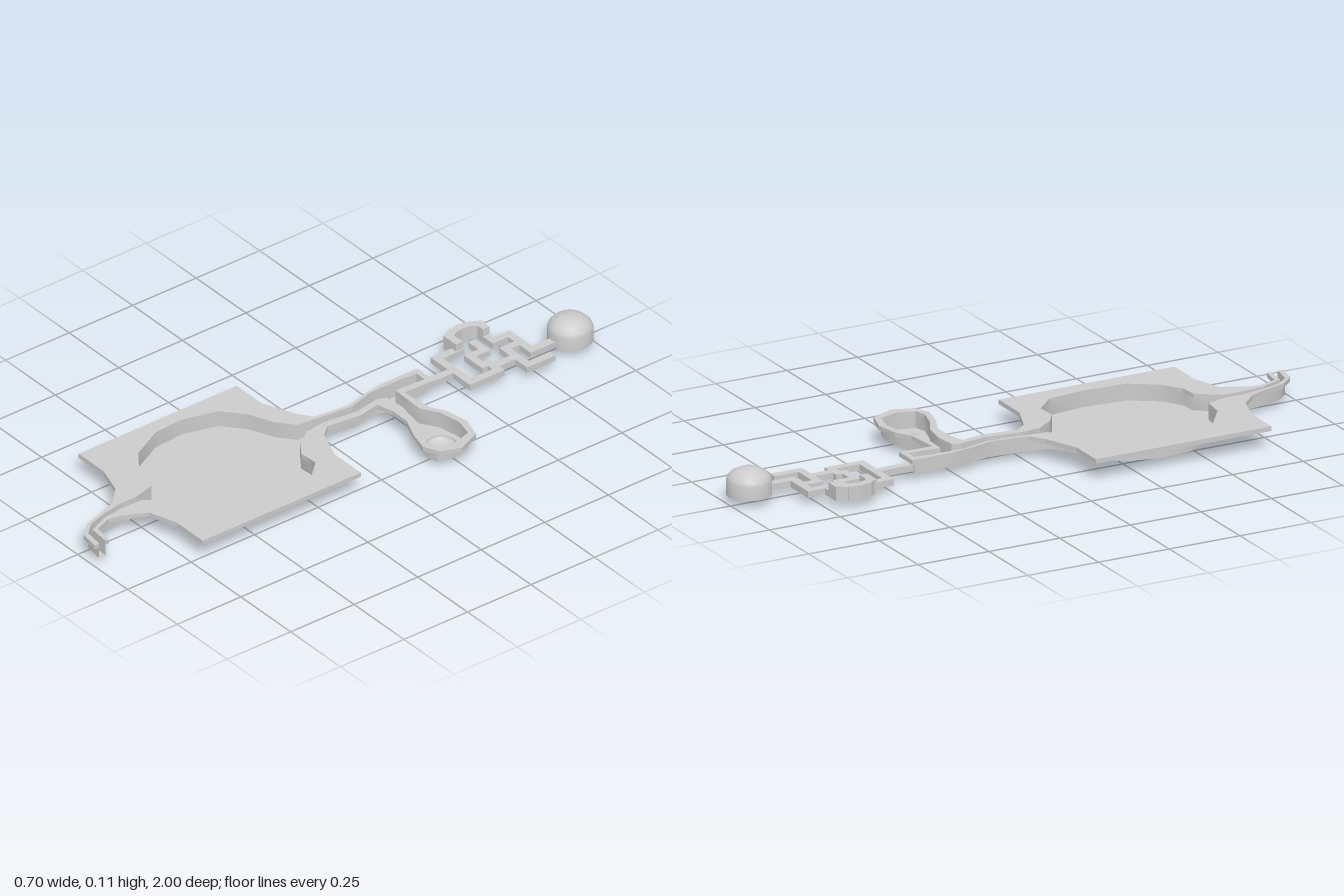
import * as THREE from 'three';
import { toCreasedNormals } from 'three/addons/utils/BufferGeometryUtils.js';

// Ground plan in hundredths of a unit, as x, z pairs.
const OUTER = [
  [8.2, 94.2], [1.3, 93.1], [-0.8, 87.3], [0, 83], [4, 75], [14, 71.8], [26.8, 71.8], [26.8, 9.6],
  [13.5, 9.6], [3, 5.3], [-0.2, 1.6], [1.3, -10.6], [-0.2, -18], [5.5, -19.6], [12.5, -19.6],
  [20, -16.4], [27.2, -14.6], [32.5, -17], [35, -23.8], [31.5, -32], [24, -34.4], [16, -33],
  [11, -30], [-0.5, -29], [-0.2, -40.5], [-8.7, -40.5], [-8.7, -26], [-7.5, -19], [-5.5, -11],
  [-7, 1.6], [-12, 5], [-23, 9.6], [-35.5, 9.6], [-35.5, 71.8], [-23, 71.8], [-13, 75],
  [-7.5, 80.5], [-5, 87], [-3, 94], [1.3, 98.7], [8.2, 99.8],
];
const INNER = [
  [8.2, 98], [1.5, 97], [-2, 93], [-4.2, 86], [-5.5, 79], [-5.5, 72.5], [-7.5, 65], [-15, 64],
  [-24.5, 57], [-30.3, 45.5], [-31, 34.5], [-27.7, 23], [-21, 17], [-12, 13], [-6.5, 8.5],
  [-5.5, 0], [-4.3, -11.5], [-7, -21], [-7, -32], [-6.5, -38.5], [-2.5, -38.5], [-3.2, -27.5],
  [9.5, -27], [15, -30.5], [23, -32], [29.5, -30.5], [31.5, -24], [30, -18], [26, -17], [19, -19],
  [13.5, -22], [5.5, -23.5], [-1.7, -22.8], [-2.7, -20], [-1.2, -10.5], [-2.7, 1.5], [-1.8, 8.5],
  [2, 14], [7, 17.5], [13.5, 17], [20, 24], [21.5, 37], [20.3, 51.5], [14.5, 60], [8, 64.5],
  [2.4, 65], [-3, 72.5], [-3.2, 79], [-2.3, 87.5], [0.8, 94.8], [8.2, 95.5],
];
const RIM_TOP = 0.075, RIM_BOTTOM = 0.06, FLOOR = 0.02;
const POND = [0.23, -0.25], BOWL_R = 0.05;
const solid = new THREE.MeshStandardMaterial({ color: 0xcccccc });
const sheet = new THREE.MeshStandardMaterial({ color: 0xcccccc, side: THREE.DoubleSide });

const plan = pts => pts.map(([x, z]) => new THREE.Vector2(x / 100, z / 100));

function add(parent, name, geometry, material = solid) {
  const mesh = new THREE.Mesh(geometry, material);
  mesh.name = name;
  parent.add(mesh);
  return mesh;
}

// Upright wall following an open path, with smooth normals
function wallGeometry(points, y0, y1) {
  const pos = [], index = [];
  points.forEach((p, i) => {
    pos.push(p.x, y0, p.y, p.x, y1, p.y);
    const a = i * 2;
    if (i) index.push(a - 2, a - 1, a, a, a - 1, a + 1);
  });
  const g = new THREE.BufferGeometry();
  g.setAttribute('position', new THREE.Float32BufferAttribute(pos, 3));
  g.setIndex(index);
  g.computeVertexNormals();
  return toCreasedNormals(g, 1.0);
}

// Square-sectioned strip along a path of x, z points
function strip(parent, name, path, top, width = 0.027, bottom = 0.026) {
  const group = new THREE.Group();
  group.name = name;
  for (let i = 1; i < path.length; i++) {
    const [x0, z0] = path[i - 1], [x1, z1] = path[i];
    const dx = x1 - x0, dz = z1 - z0;
    const straight = Math.abs(dx) < 1e-4 || Math.abs(dz) < 1e-4;
    const length = Math.hypot(dx, dz) + (straight ? width : width * 0.4);
    const m = add(group, name + 'Segment', new THREE.BoxGeometry(length, top - bottom, width));
    m.position.set((x0 + x1) / 2, (top + bottom) / 2, (z0 + z1) / 2);
    m.rotation.y = -Math.atan2(dz, dx);
  }
  parent.add(group);
}

export function createModel() {
  const model = new THREE.Group();
  model.name = 'waterCourse';
  const inner = plan(INNER);

  // Rim around the basin, river and pond, open at the tail
  const rim = new THREE.ExtrudeGeometry(new THREE.Shape([...plan(OUTER), ...inner]), {
    depth: RIM_TOP - RIM_BOTTOM, bevelEnabled: false,
  });
  rim.rotateX(Math.PI / 2).translate(0, RIM_TOP, 0);
  add(model, 'rim', rim);

  // Sunken walls and floor
  add(model, 'basinWall', wallGeometry(inner, FLOOR, RIM_TOP), sheet);
  const floorShape = new THREE.Shape(inner);
  floorShape.holes.push(new THREE.Path().absarc(...POND, BOWL_R, 0, Math.PI * 2, true));
  const floor = new THREE.ShapeGeometry(floorShape, 12);
  floor.rotateX(Math.PI / 2).translate(0, FLOOR, 0);
  add(model, 'basinFloor', floor, sheet);

  // Rounded hollow in the pond floor
  const bowl = add(model, 'pondBowl',
    new THREE.SphereGeometry(BOWL_R, 24, 6, 0, Math.PI * 2, Math.PI / 2, Math.PI / 2), sheet);
  bowl.scale.y = FLOOR / BOWL_R;
  bowl.position.set(POND[0], FLOOR, POND[1]);

  // Maze of low strips between the river head and the dome
  const low = 0.047;
  const paths = [
    [[-0.045, -0.38], [-0.045, -0.515]],
    [[-0.13, -0.6], [-0.13, -0.515], [0.04, -0.515], [0.04, -0.625], [-0.01, -0.625]],
    [[-0.125, -0.66], [-0.075, -0.66], [-0.075, -0.603], [-0.01, -0.603], [-0.01, -0.625]],
    [[0.013, -0.88], [0.013, -0.775], [-0.1, -0.775], [-0.1, -0.715], [-0.165, -0.715]],
    [[-0.042, -0.775], [-0.042, -0.715], [0.072, -0.715], [0.072, -0.8]],
    [[0.013, -0.715], [0.013, -0.625]],
  ];
  paths.forEach(p => strip(model, 'mazePath', p, low));

  // Taller rounded bend on the maze's right side
  strip(model, 'mazeBend', [
    [-0.15, -0.715], [-0.17, -0.715], [-0.187, -0.69], [-0.193, -0.655], [-0.187, -0.62],
    [-0.17, -0.597], [-0.135, -0.597],
  ], 0.073);

  // Domed drum at the far end
  const profile = [[0, 0.025], [0.072, 0.025], [0.072, 0.07], [0.068, 0.082], [0.055, 0.096],
    [0.032, 0.108], [0, 0.112]].map(([r, y]) => new THREE.Vector2(r, y));
  const dome = add(model, 'dome', toCreasedNormals(new THREE.LatheGeometry(profile, 32), 0.9));
  dome.position.set(0.013, 0, -0.928);

  return model;
}
